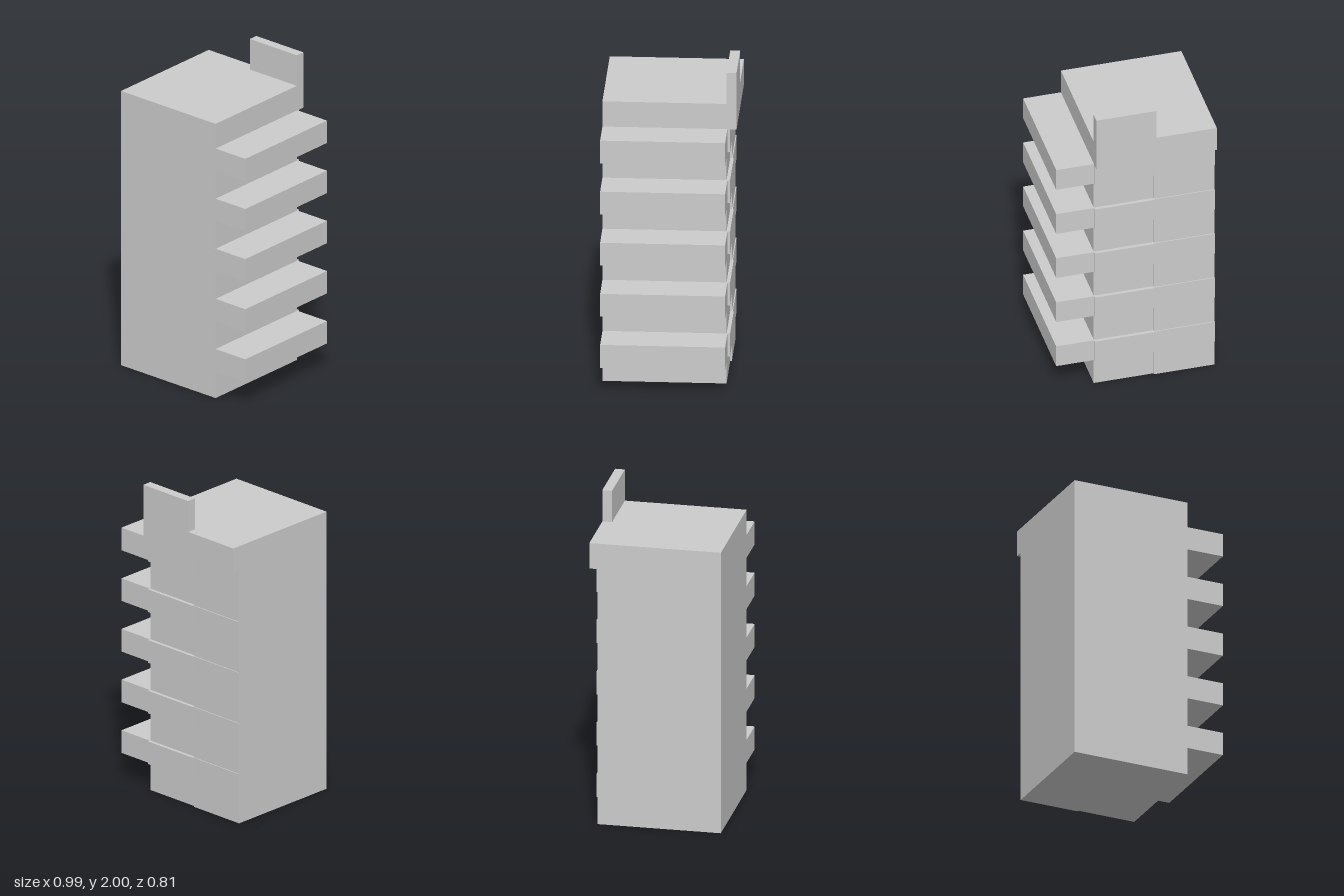
import * as THREE from 'three';

const material = new THREE.MeshStandardMaterial({ color: 0xcccccc, flatShading: true });

// Box given by its limits on each axis
function block(name, [x0, x1], [y0, y1], [z0, z1]) {
  const mesh = new THREE.Mesh(new THREE.BoxGeometry(x1 - x0, y1 - y0, z1 - z0), material);
  mesh.name = name;
  mesh.position.set((x0 + x1) / 2, (y0 + y1) / 2, (z0 + z1) / 2);
  return mesh;
}

export function createModel() {
  const group = new THREE.Group();
  group.name = 'apartmentTower';

  const left = -0.495, seam = -0.118, right = 0.255, balconyEnd = 0.49;
  const front = 0.402, back = -0.345;

  // Main tower and the slightly raised half of its back wall
  group.add(block('towerBody', [left, right], [0, 1.8], [back, front]));
  group.add(block('backPanel', [left, seam], [0, 1.64], [-0.355, back]));

  // Roof parapet beam and the upright sign wall on it
  group.add(block('backParapet', [left, right], [1.637, 1.8], [-0.405, back]));
  group.add(block('roofWall', [seam, right], [1.8, 2], [-0.405, back]));

  // Five floors: balcony slab on the side, bands across the back
  for (let i = 0; i < 5; i++) {
    const y = [0.175 + i * 0.329, 0.322 + i * 0.329];
    const floor = new THREE.Group();
    floor.name = 'floor' + (i + 1);
    floor.add(
      block('balconySlab', [right, balconyEnd], y, [-0.35, front]),
      block('backBandWide', [seam, right], y, [-0.366, back]),
      block('backBandNarrow', [left, seam], y, [-0.361, -0.355])
    );
    group.add(floor);
  }
  return group;
}
